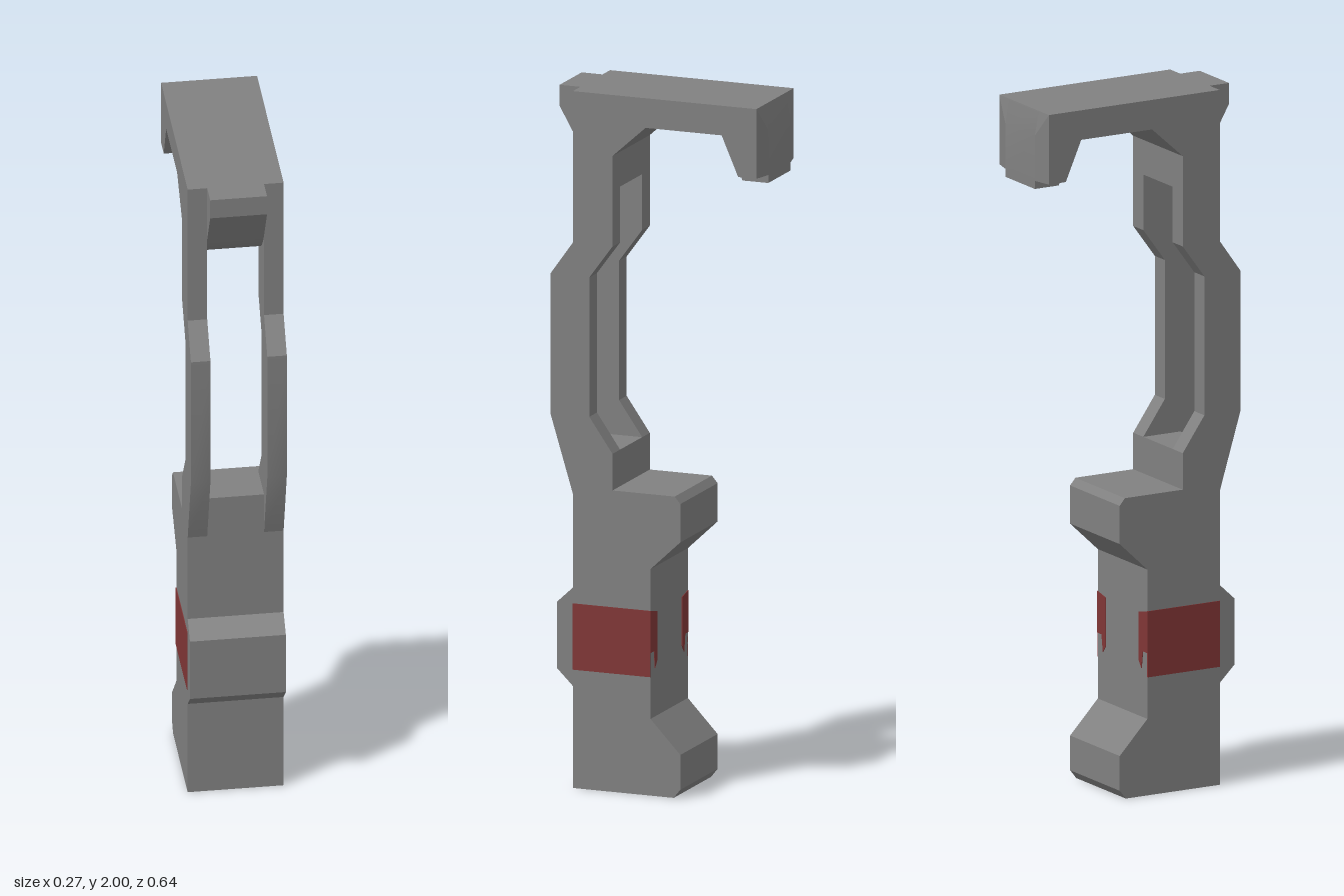
import * as THREE from 'three';
import { toCreasedNormals } from 'three/addons/utils/BufferGeometryUtils.js';
import { ConvexGeometry } from 'three/addons/geometries/ConvexGeometry.js';

const HALF = 0.135;  // half of the full width
const SLOT = 0.08;   // half of the gap between the rails

export function createModel() {
  const group = new THREE.Group();
  const grey = new THREE.MeshStandardMaterial({ color: 0x808080 });
  grey.name = 'metal grey';
  const red = new THREE.MeshStandardMaterial({ color: 0x803636 });
  red.name = 'marking red';

  const add = (name, geometry, material = grey) => {
    const mesh = new THREE.Mesh(geometry, material);
    mesh.name = name;
    group.add(mesh);
    return mesh;
  };

  // Side profile given as (z, y), extruded from x0 to x1
  const slab = (shape, x0, x1) => {
    const g = new THREE.ExtrudeGeometry(shape, { depth: x1 - x0, bevelEnabled: false, curveSegments: 10 });
    g.rotateY(-Math.PI / 2);
    g.translate(x1, 0, 0);
    return toCreasedNormals(g, 0.45);
  };
  const outline = (pts) => new THREE.Shape(pts.map(([z, y]) => new THREE.Vector2(z, y)));

  // Lower grip with front rib and two rear bulges
  add('base', slab(outline([
    [0.25, 0], [-0.055, 0], [-0.075, 0.025], [-0.075, 0.125], [0.015, 0.22],
    [0.015, 0.65], [-0.075, 0.735], [-0.075, 0.845], [-0.058, 0.865], [0.13, 0.865],
    [0.25, 0.865], [0.25, 0.575], [0.298, 0.53], [0.298, 0.34], [0.25, 0.293],
  ]), -HALF, HALF));

  // Web closing the bottom of the slot
  add('slotBase', slab(outline([[0.25, 0.865], [0.13, 0.865], [0.13, 0.97], [0.25, 0.97]]), -SLOT, SLOT));

  // Bridge between the rails, with a curved front lip
  const bridge = new THREE.Shape();
  bridge.moveTo(0.313, 2);
  bridge.lineTo(-0.22, 2);
  bridge.lineTo(-0.22, 1.915);
  bridge.lineTo(0.03, 1.915);
  bridge.lineTo(0.13, 1.825);
  bridge.lineTo(0.13, 1.725);
  bridge.quadraticCurveTo(0.205, 1.75, 0.25, 1.83);
  bridge.lineTo(0.313, 1.94);
  add('bridge', slab(bridge, -SLOT, SLOT));

  const railShape = outline([
    [0.25, 0.845], [0.318, 1.07], [0.318, 1.47], [0.25, 1.565], [0.25, 2], [-0.22, 2],
    [-0.22, 1.915], [0.03, 1.915], [0.13, 1.825], [0.13, 1.565], [0.2, 1.47],
    [0.2, 1.07], [0.13, 0.97], [0.13, 0.845],
  ]);

  // Red patch on the rear face, wrapping from the side
  const patchShape = outline([[0.135, 0.53], [0.09, 0.52], [0.09, 0.38], [0.105, 0.36], [0.112, 0.41], [0.135, 0.41]]);

  for (const s of [1, -1]) {
    const side = s > 0 ? 'left' : 'right';
    add(side + 'Rail', slab(railShape, s > 0 ? SLOT : -HALF, s > 0 ? HALF : -SLOT));

    // Shorter side of the hook, tapering at the back
    add(side + 'HookSide', new ConvexGeometry([
      [HALF, 2, -0.2], [HALF, 1.915, -0.2], [HALF, 1.8, -0.25], [HALF, 1.8, -0.305], [HALF, 2, -0.305],
      [SLOT, 2, -0.2], [SLOT, 1.915, -0.2], [SLOT, 1.8, -0.25], [SLOT, 1.8, -0.318], [SLOT, 1.93, -0.318], [SLOT, 2, -0.305],
    ].map(([x, y, z]) => new THREE.Vector3(s * x, y, z))));

    // Red band on the flank
    const band = new THREE.BoxGeometry(0.004, 0.19, 0.235);
    band.translate(s * HALF, 0.435, 0.1325);
    add(side + 'Band', band, red);

    const patch = new THREE.ExtrudeGeometry(patchShape, { depth: 0.004, bevelEnabled: false });
    patch.translate(0, 0, -0.002);
    if (s < 0) patch.rotateY(Math.PI);
    patch.translate(0, 0, 0.015);
    add(side + 'RearPatch', patch, red);
  }

  // Longer middle of the hook
  add('hookCentre', slab(outline([
    [-0.19, 2], [-0.305, 2], [-0.318, 1.93], [-0.318, 1.777], [-0.24, 1.777], [-0.19, 1.915],
  ]), -SLOT, SLOT));

  return group;
}
